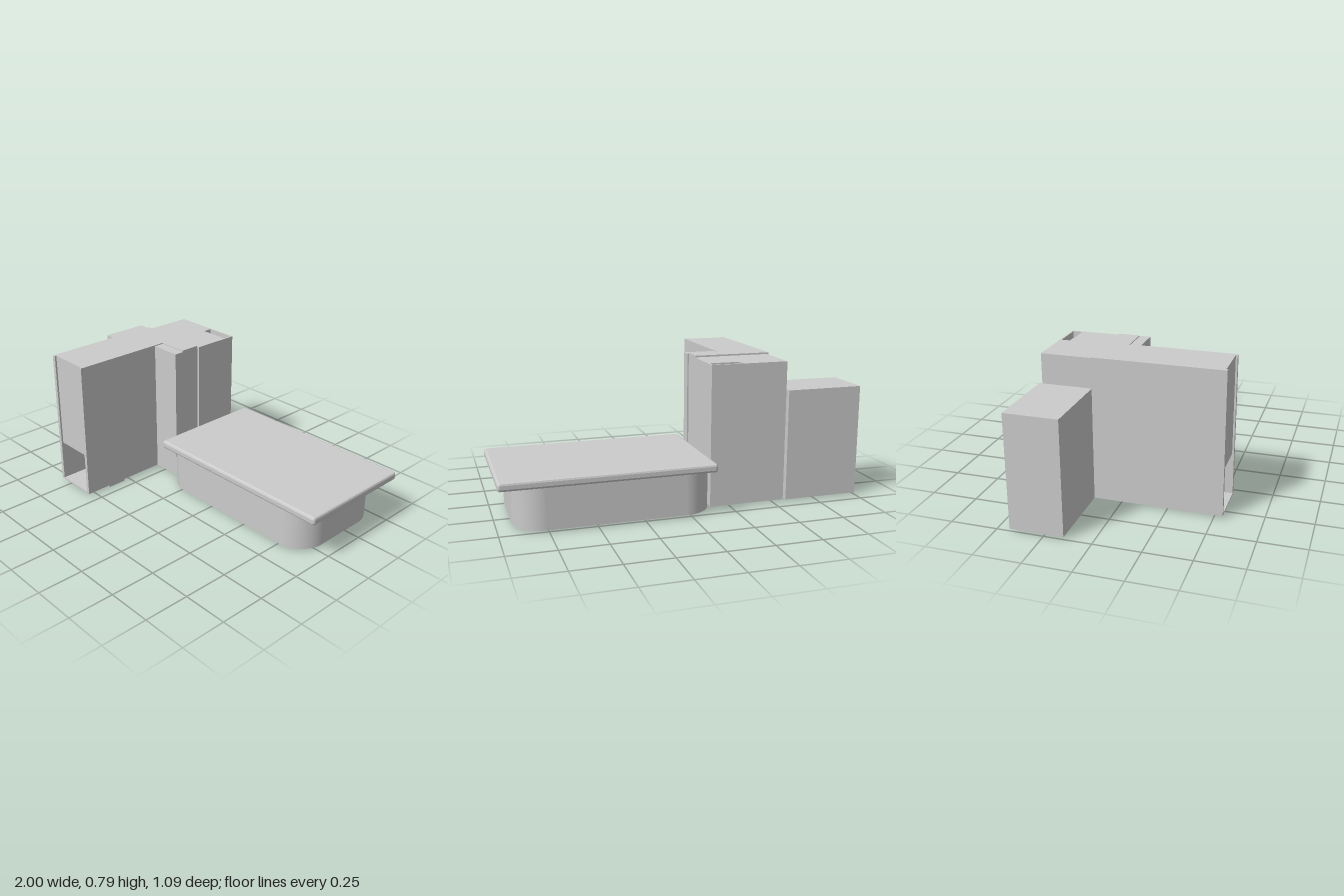
import * as THREE from 'three';

const grey = new THREE.MeshStandardMaterial({ color: 0xcccccc, flatShading: true });
const smooth = new THREE.MeshStandardMaterial({ color: 0xcccccc });

// Box given by its limits on each axis
function block(name, x0, x1, y0, y1, z0, z1) {
  const mesh = new THREE.Mesh(new THREE.BoxGeometry(x1 - x0, y1 - y0, z1 - z0), grey);
  mesh.name = name;
  mesh.position.set((x0 + x1) / 2, (y0 + y1) / 2, (z0 + z1) / 2);
  return mesh;
}

// Plan outline with rounded corners; shape y becomes -z once laid flat
function plan(x0, x1, z0, z1, r) {
  const s = new THREE.Shape();
  s.absarc(x1 - r, -z0 - r, r, 0, Math.PI / 2);
  s.absarc(x0 + r, -z0 - r, r, Math.PI / 2, Math.PI);
  s.absarc(x0 + r, -z1 + r, r, Math.PI, Math.PI * 1.5);
  s.absarc(x1 - r, -z1 + r, r, Math.PI * 1.5, Math.PI * 2);
  s.closePath();
  return s;
}

function slab(name, shape, y, options, material) {
  const geometry = new THREE.ExtrudeGeometry(shape, options);
  geometry.rotateX(-Math.PI / 2);
  const mesh = new THREE.Mesh(geometry, material);
  mesh.name = name;
  mesh.position.y = y;
  return mesh;
}

// Round-cornered tub wall with smooth normals, closed by flat caps
function tub(x0, x1, y0, y1, z0, z1, r) {
  const group = new THREE.Group();
  group.name = 'tableBase';
  const ring = plan(x0, x1, z0, z1, r).getPoints(16);
  const pos = [], nor = [], idx = [];
  const cx = p => THREE.MathUtils.clamp(p.x, x0 + r, x1 - r);
  const cy = p => THREE.MathUtils.clamp(p.y, -z1 + r, -z0 - r);
  for (const p of ring) {
    const n = new THREE.Vector2(p.x - cx(p), p.y - cy(p)).normalize();
    for (const y of [y0, y1]) {
      pos.push(p.x, y, -p.y);
      nor.push(n.x, 0, -n.y);
    }
  }
  const count = ring.length;
  for (let i = 0; i < count; i++) {
    const a = 2 * i, b = 2 * ((i + 1) % count);
    idx.push(a, b, b + 1, a, b + 1, a + 1);
  }
  const wall = new THREE.BufferGeometry();
  wall.setAttribute('position', new THREE.Float32BufferAttribute(pos, 3));
  wall.setAttribute('normal', new THREE.Float32BufferAttribute(nor, 3));
  wall.setIndex(idx);
  const side = new THREE.Mesh(wall, smooth);
  side.name = 'baseWall';
  group.add(side);
  for (const [name, y, turn] of [['baseBottom', y0, 1], ['baseTop', y1, -1]]) {
    const cap = new THREE.ShapeGeometry(plan(x0, x1, z0, z1, r), 16);
    cap.rotateX(-Math.PI / 2);
    if (turn > 0) cap.index.array.reverse();
    const mesh = new THREE.Mesh(cap, grey);
    mesh.name = name;
    mesh.position.y = y;
    group.add(mesh);
  }
  return group;
}

export function createModel() {
  const model = new THREE.Group();
  model.name = 'furnitureBlock';
  const floor = 0.012;

  // Long hollow cabinet, open at the bottom of its front end
  const cabinet = new THREE.Group();
  cabinet.name = 'longCabinet';
  cabinet.add(
    block('leftWall', -0.575, -0.555, floor, 0.79, 0.03, 0.545),
    block('rightWall', -0.33, -0.31, floor, 0.79, 0.03, 0.545),
    block('cabinetFloor', -0.555, -0.33, floor, 0.02, 0.03, 0.545),
    block('cabinetTop', -0.555, -0.33, 0.77, 0.79, 0.03, 0.535),
    block('frontPanel', -0.555, -0.33, 0.25, 0.77, 0.515, 0.535),
    block('cabinetCore', -0.575, -0.31, floor, 0.79, -0.145, 0.03)
  );
  model.add(cabinet);

  // Connecting pieces beside the cabinet
  model.add(
    block('cornerPost', -0.31, -0.132, floor, 0.785, -0.03, 0.028),
    block('connector', -0.31, -0.14, floor, 0.79, -0.143, -0.03)
  );

  // Rear block with a recess cut into its top near the back corner
  const back = new THREE.Group();
  back.name = 'rearBlock';
  back.add(
    block('rearBody', -0.56, -0.132, floor, 0.745, -0.42, -0.15),
    block('rearTopFront', -0.56, -0.132, 0.745, 0.782, -0.36, -0.15),
    block('rearTopSide', -0.56, -0.31, 0.745, 0.782, -0.42, -0.36),
    block('recessBackLip', -0.31, -0.132, 0.745, 0.782, -0.42, -0.412),
    block('recessSideLip', -0.142, -0.132, 0.745, 0.782, -0.412, -0.36),
    block('grooveFill', -0.55, -0.145, floor, 0.772, -0.15, -0.143)
  );
  model.add(back);

  model.add(block('sideBox', -1, -0.572, floor, 0.625, -0.43, -0.145));

  // Low table with a bevelled top on a round-cornered base
  const bevel = 0.012;
  model.add(
    tub(-0.13, 0.92, floor, 0.245, -0.51, 0.115, 0.16),
    slab('tableTop', plan(-0.13 + bevel, 1 - bevel, -0.545 + bevel, 0.14 - bevel, 0.004), 0.24 + bevel,
      { depth: 0.045 - 2 * bevel, bevelEnabled: true, bevelSize: bevel, bevelThickness: bevel, bevelSegments: 2, curveSegments: 2 }, grey)
  );

  // Small square fitting set through the cabinet floor
  const fitting = new THREE.Group();
  fitting.name = 'floorFitting';
  fitting.add(block('fittingBody', -0.412, -0.312, 0.006, 0.05, 0.29, 0.395));
  const rim = plan(-0.415, -0.31, 0.285, 0.4, 0.004);
  rim.holes.push(plan(-0.4, -0.325, 0.3, 0.385, 0.004));
  fitting.add(slab('fittingRim', rim, 0, { depth: 0.014, bevelEnabled: false, curveSegments: 2 }, grey));
  model.add(fitting);

  return model;
}
